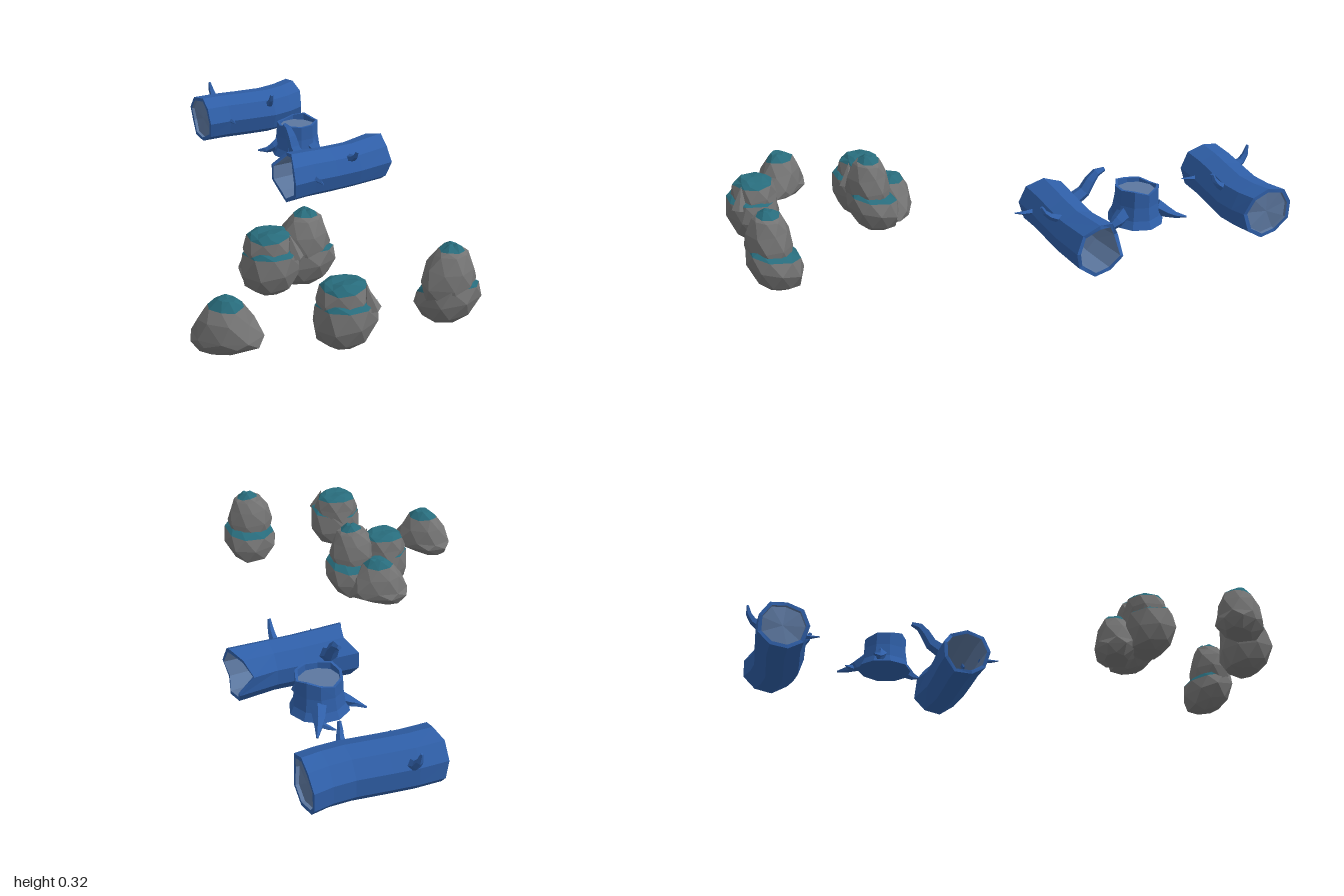
import * as THREE from 'three';

const mat = (color) => new THREE.MeshStandardMaterial({ color, flatShading: true });
const stone = mat(0x747474), moss = mat(0x286c7c), bark = mat(0x2f5fa8), heartwood = mat(0x5c779f);
const V = (x, y, z) => new THREE.Vector3(x, y, z);

// Repeatable roughness in -1..1
const rough = (a, b, seed) => {
  const s = Math.sin(a * 12.99 + b * 78.23 + seed * 37.7) * 43758.5;
  return (s - Math.floor(s)) * 2 - 1;
};

// Skin over closed rings of points, with optional fans closing the ends
function loft(rings, capStart, capEnd) {
  const n = rings[0].length, pos = [], idx = [];
  rings.flat().forEach((p) => pos.push(p.x, p.y, p.z));
  for (let i = 0; i < rings.length - 1; i++)
    for (let j = 0; j < n; j++) {
      const a = i * n + j, b = i * n + (j + 1) % n;
      idx.push(a, b, a + n, b, b + n, a + n);
    }
  const fan = (ring, start, flip) => {
    const c = ring.reduce((s, p) => s.add(p), V(0, 0, 0)).divideScalar(n);
    const k = pos.length / 3;
    pos.push(c.x, c.y, c.z);
    for (let j = 0; j < n; j++) {
      const a = start + j, b = start + (j + 1) % n;
      idx.push(k, flip ? b : a, flip ? a : b);
    }
  };
  if (capStart) fan(rings[0], 0, true);
  if (capEnd) fan(rings[rings.length - 1], (rings.length - 1) * n, false);
  const g = new THREE.BufferGeometry();
  g.setAttribute('position', new THREE.Float32BufferAttribute(pos, 3));
  g.setIndex(idx);
  g.computeVertexNormals();
  return g;
}

function add(parent, name, geometry, material) {
  const m = new THREE.Mesh(geometry, material);
  m.name = name;
  parent.add(m);
  return m;
}

// Tapering, bent limb; path points are [x, y, z, radius]
function limb(parent, name, path, sides = 5) {
  const pts = path.map((p) => V(p[0], p[1], p[2]));
  const rings = pts.map((p, i) => {
    const t = pts[Math.min(i + 1, pts.length - 1)].clone().sub(pts[Math.max(i - 1, 0)]).normalize();
    const u = V(1, 0, 0).addScaledVector(t, -t.x).normalize(), v = t.clone().cross(u);
    return Array.from({ length: sides }, (_, j) => {
      const a = j / sides * Math.PI * 2, r = path[i][3];
      return p.clone().addScaledVector(u, Math.cos(a) * r).addScaledVector(v, Math.sin(a) * r);
    });
  });
  add(parent, name, loft(rings, true, true), bark);
}

// Boulder from sections [y, centreX, centreZ, radiusX, radiusZ], each staggered by half a facet;
// moss covers it from one section up
function boulder(parent, name, sections, mossFrom, seed, tilt = 0) {
  const n = 8;
  const rings = sections.map(([y, cx, cz, rx, rz], i) => Array.from({ length: n }, (_, j) => {
    const a = (j + 0.5 * i + 0.15 * rough(j, i + 1, seed)) / n * Math.PI * 2;
    const k = 1.02 + 0.05 * rough(j, i, seed);
    const x = Math.cos(a) * rx * k, z = -Math.sin(a) * rz * k;
    return V(cx + x, y + tilt * z + 0.006 * rough(i, j, seed + 3), cz + z);
  }));
  add(parent, name, loft(rings.slice(0, mossFrom + 1), true, false), stone);
  add(parent, name + 'Moss', loft(rings.slice(mossFrom), false, true), moss);
}

function tallRock() {
  const g = new THREE.Group();
  boulder(g, 'lowerBoulder', [[0.025, 0, 0, 0.045, 0.045], [0.05, 0, 0, 0.085, 0.08], [0.105, 0, 0, 0.111, 0.104],
    [0.153, 0, 0, 0.102, 0.097], [0.176, -0.005, 0.005, 0.078, 0.072]], 3, 1, 0.28);
  boulder(g, 'upperBoulder', [[0.13, -0.012, 0.012, 0.088, 0.076], [0.185, -0.01, 0.012, 0.1, 0.082],
    [0.24, -0.008, 0.014, 0.084, 0.074], [0.285, -0.004, 0.012, 0.058, 0.053],
    [0.3, -0.002, 0.01, 0.044, 0.04], [0.316, 0, 0.01, 0.016, 0.018]], 4, 2);
  return g;
}

function squatRock() {
  const g = new THREE.Group();
  boulder(g, 'lowerBoulder', [[0.03, 0, 0, 0.05, 0.045], [0.055, 0, 0, 0.09, 0.08], [0.115, 0, 0, 0.112, 0.102],
    [0.183, 0, 0, 0.1, 0.092], [0.198, 0, 0, 0.08, 0.072]], 3, 4, 0.12);
  boulder(g, 'upperBoulder', [[0.14, 0, -0.008, 0.088, 0.08], [0.2, 0, -0.008, 0.093, 0.083],
    [0.243, 0, -0.008, 0.08, 0.072], [0.258, 0, -0.008, 0.064, 0.056], [0.264, 0, -0.008, 0.045, 0.04]], 2, 5);
  // Small upright chip leaning on the upper boulder
  const chip = add(g, 'chip', new THREE.ConeGeometry(0.03, 0.09, 5), stone);
  chip.position.set(0.056, 0.216, 0.056);
  chip.rotation.set(-0.2, 0, 0.2);
  return g;
}

function smallRock() {
  const g = new THREE.Group();
  boulder(g, 'wedgeBoulder', [[0.006, -0.03, 0, 0.07, 0.045], [0.042, 0, 0, 0.122, 0.083], [0.07, 0.004, 0, 0.12, 0.083],
    [0.125, 0, 0, 0.094, 0.071], [0.168, 0, 0, 0.062, 0.05], [0.193, 0.004, 0, 0.03, 0.026]], 4, 7);
  return g;
}

// Ring of a log lying along x
const SIDES = 9;
const logRing = (x, cy, cz, r, seed, jag = []) => Array.from({ length: SIDES }, (_, j) => {
  const a = (j + 0.15) / SIDES * Math.PI * 2, k = r * (1 + 0.035 * rough(j, 2, seed));
  return V(x + (jag[j] || 0), cy + Math.cos(a) * k, cz + Math.sin(a) * k);
});

// Log from sections [x, y, z, radius]; hollow right through, or closed by recessed end wood
function log(name, sections, seed, hollow, jagStart, jagEnd) {
  const g = new THREE.Group();
  g.name = name;
  const last = sections.length - 1;
  const jag = (i) => (i === 0 ? jagStart : i === last ? jagEnd : []);
  const ring = (i, scale, dx = 0) => {
    const [x, y, z, r] = sections[i];
    return logRing(x + dx, y, z, r * scale, seed, jag(i));
  };
  const outer = sections.map((_, i) => ring(i, 1));
  const inner = sections.map((_, i) => ring(i, 0.85));
  add(g, 'bark', loft([inner[0], ...outer, inner[last]]), bark);
  if (hollow) add(g, 'innerWall', loft([...inner].reverse()), heartwood);
  else {
    add(g, 'endWood', loft([inner[last], ring(last, 0.84, -0.012)], false, true), heartwood);
    add(g, 'endWood', loft([ring(0, 0.84, 0.012), inner[0]], true, false), heartwood);
  }
  return g;
}

function stump() {
  const g = new THREE.Group();
  g.name = 'stump';
  const ring = (y, r, jag = 0) => Array.from({ length: 10 }, (_, j) => {
    const a = j / 10 * Math.PI * 2, k = r * (1 + 0.05 * rough(j, 0, 9));
    return V(0.4 + Math.cos(a) * k, y + jag * rough(j, 5, 2), -0.425 - Math.sin(a) * k);
  });
  add(g, 'bark', loft([ring(0.1, 0.108), ring(0.13, 0.094), ring(0.18, 0.086), ring(0.232, 0.085, 0.016),
    ring(0.232, 0.075, 0.016), ring(0.213, 0.074)], true, false), bark);
  add(g, 'cutTop', loft([ring(0.213, 0.076), ring(0.215, 0.074)], false, true), heartwood);
  // Roots
  [
    [[0.35, 0.15, -0.45, 0.03], [0.31, 0.125, -0.46, 0.022], [0.28, 0.11, -0.475, 0.012], [0.255, 0.104, -0.5, 0.004]],
    [[0.43, 0.15, -0.49, 0.03], [0.445, 0.125, -0.53, 0.022], [0.46, 0.112, -0.56, 0.013], [0.48, 0.104, -0.598, 0.004]],
    [[0.45, 0.115, -0.54, 0.014], [0.425, 0.107, -0.562, 0.009], [0.405, 0.103, -0.58, 0.003]],
    [[0.425, 0.15, -0.37, 0.035], [0.438, 0.125, -0.325, 0.026], [0.442, 0.11, -0.295, 0.015], [0.435, 0.104, -0.272, 0.005]],
  ].forEach((p) => limb(g, 'root', p));
  return g;
}

export function createModel() {
  const model = new THREE.Group();

  // Hollow broken log
  const front = log('hollowLog', [[0.17, 0.133, -0.15, 0.1], [0.27, 0.133, -0.149, 0.097], [0.37, 0.13, -0.144, 0.095],
    [0.48, 0.13, -0.139, 0.094], [0.63, 0.133, -0.15, 0.1]], 3, true,
  [0.03, 0.005, 0, 0.01, 0, 0.015, 0, 0, 0.045], [0, -0.01, 0, -0.015, 0, -0.01, 0, -0.055, -0.03]);
  limb(front, 'branch', [[0.29, 0.165, -0.21, 0.03], [0.29, 0.195, -0.262, 0.026], [0.29, 0.235, -0.287, 0.022],
    [0.29, 0.262, -0.312, 0.017], [0.29, 0.27, -0.345, 0.009]]);
  limb(front, 'branchStub', [[0.44, 0.185, -0.09, 0.018], [0.435, 0.203, -0.045, 0.013], [0.432, 0.22, -0.025, 0.01], [0.43, 0.243, -0.012, 0.006]]);
  limb(front, 'twig', [[0.268, 0.142, -0.07, 0.012], [0.268, 0.144, -0.025, 0.008], [0.26, 0.147, 0.01, 0.002]], 4);
  model.add(front);

  // Closed log
  const back = log('closedLog', [[0.17, 0.135, -0.87, 0.1], [0.27, 0.133, -0.866, 0.1], [0.36, 0.131, -0.853, 0.1],
    [0.48, 0.13, -0.836, 0.1], [0.56, 0.133, -0.84, 0.1], [0.632, 0.137, -0.855, 0.102]], 6, false,
  [0.01, 0, 0, 0.008, 0, 0, 0.01, 0, 0], [0, 0, -0.01, 0, 0, -0.008, 0, 0, 0.005]);
  limb(back, 'branch', [[0.29, 0.165, -0.93, 0.024], [0.29, 0.185, -0.968, 0.016], [0.288, 0.21, -0.986, 0.012], [0.285, 0.245, -0.995, 0.005]]);
  limb(back, 'branchStub', [[0.465, 0.175, -0.78, 0.02], [0.458, 0.198, -0.745, 0.014], [0.452, 0.216, -0.73, 0.011], [0.45, 0.242, -0.72, 0.007]]);
  limb(back, 'twig', [[0.27, 0.14, -0.79, 0.012], [0.27, 0.142, -0.75, 0.008], [0.263, 0.146, -0.713, 0.002]], 4);
  model.add(back);

  model.add(stump());

  // Separate rocks, then the same three gathered in a cluster
  [
    ['tallRock', tallRock, 0.188, 0.902, 0],
    ['squatRock', squatRock, -0.203, 0.868, 0],
    ['smallRock', smallRock, -0.535, 0.667, -0.75],
    ['clusterTallRock', tallRock, -0.095, 0.435, 0],
    ['clusterSquatRock', squatRock, -0.235, 0.443, 0],
    ['clusterSmallRock', smallRock, -0.17, 0.335, -0.4],
  ].forEach(([name, make, x, z, turn]) => {
    const rock = make();
    rock.name = name;
    rock.position.set(x, 0, z);
    rock.rotation.y = turn;
    model.add(rock);
  });
  return model;
}
